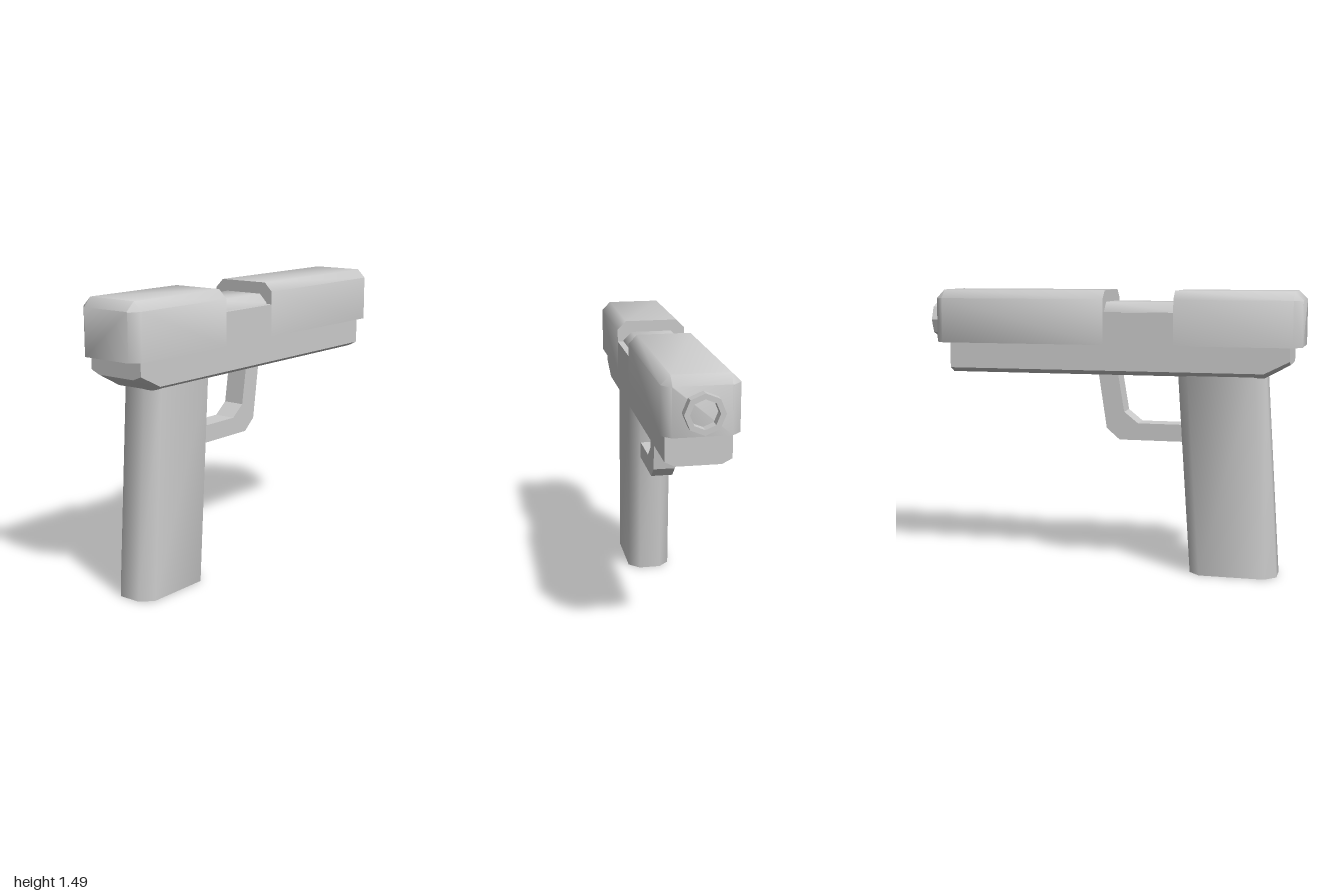
import * as THREE from 'three';
import { toCreasedNormals } from 'three/addons/utils/BufferGeometryUtils.js';

const material = new THREE.MeshStandardMaterial({ color: 0xcccccc });

// Closed solid through equal-length rings, each counter-clockwise seen from the far end
function loft(rings, crease = 0.9) {
  const n = rings[0].length;
  const index = [];
  for (let i = 0; i < rings.length - 1; i++) {
    for (let j = 0; j < n; j++) {
      const a = i * n + j, b = i * n + (j + 1) % n;
      index.push(a, b, b + n, a, b + n, a + n);
    }
  }
  const last = (rings.length - 1) * n;
  for (let j = 1; j < n - 1; j++) {
    index.push(0, j + 1, j, last, last + j, last + j + 1);
  }
  const geometry = new THREE.BufferGeometry();
  geometry.setAttribute('position', new THREE.Float32BufferAttribute(rings.flat(2), 3));
  geometry.setIndex(index);
  return toCreasedNormals(geometry, crease);
}

// Cross-section at x: half width h, bottom to top, chamfered top and bottom corners
function section(x, h, bottom, top, cutTop = 0, cutBottom = 0, cutBottomZ = 0) {
  return [
    [x, bottom + cutBottom, -h], [x, top - cutTop, -h],
    [x, top, -h + cutTop], [x, top, h - cutTop],
    [x, top - cutTop, h], [x, bottom + cutBottom, h],
    [x, bottom, h - cutBottomZ], [x, bottom, -h + cutBottomZ],
  ];
}

// Eight-sided cross-section of the grip at height y
function gripSection(y, x0, x1, h, cut) {
  return [
    [x0, y, -h + cut], [x0, y, h - cut], [x0 + cut, y, h], [x1 - cut, y, h],
    [x1, y, h - cut], [x1, y, -h + cut], [x1 - cut, y, -h], [x0 + cut, y, -h],
  ];
}

export function createModel() {
  const model = new THREE.Group();
  const add = (name, geometry, parent = model) => {
    const mesh = new THREE.Mesh(geometry, material);
    mesh.name = name;
    parent.add(mesh);
    return mesh;
  };

  // Slide: bevelled rear and front blocks joined by a lower bridge
  const slide = new THREE.Group();
  slide.name = 'slide';
  model.add(slide);
  const c = 0.045, h = 0.185, base = 1.21, top = 1.49;
  const full = (x) => section(x, h, base, top, c);
  const end = (x) => section(x, h - c, base, top - c, 0.004);
  add('slideRear', loft([end(-1), full(-1 + c), full(-0.35)]), slide);
  add('slideFront', loft([full(0.02), full(0.95 - c), end(0.95)]), slide);
  add('slideBridge', loft([section(-0.35, h, base, 1.38), section(0.02, h, base, 1.38)]), slide);

  // Chamber block showing in the ejection notch
  add('chamber', loft([-0.36, 0.03].map((x) => section(x, 0.153, 1.33, 1.43, c))));

  // Muzzle: short hollow octagonal tube
  const profile = [[0.07, -0.02], [0.097, -0.02], [0.097, 0.05], [0.07, 0.05], [0.07, -0.02]]
    .map(([r, y]) => new THREE.Vector2(r, y));
  const muzzle = add('muzzle', toCreasedNormals(new THREE.LatheGeometry(profile, 8), 0.5));
  muzzle.rotation.z = -Math.PI / 2;
  muzzle.position.set(0.95, 1.326, 0);

  // Frame under the slide, with a sloped rear and chamfered lower edges
  add('frame', loft([
    section(-0.94, 0.16, 1.12, 1.215, 0, 0.02, 0.05),
    section(-0.81, 0.16, 1.05, 1.215, 0, 0.025, 0.05),
    section(0.87, 0.16, 1.05, 1.215, 0, 0.025, 0.05),
  ]));

  // Raked grip
  add('grip', loft([
    gripSection(0, -0.885, -0.425, 0.117, 0.058),
    gripSection(1.06, -0.814, -0.354, 0.117, 0.058),
  ]));

  // Trigger guard
  const guardShape = new THREE.Shape([
    [-0.42, 0.7], [-0.04, 0.7], [0.03, 0.76], [0.075, 1.06],
    [-0.03, 1.06], [-0.065, 0.85], [-0.14, 0.79], [-0.42, 0.79],
  ].map(([x, y]) => new THREE.Vector2(x, y)));
  const guard = new THREE.ExtrudeGeometry(guardShape, { depth: 0.116, bevelEnabled: false });
  guard.translate(0, 0, -0.058);
  add('triggerGuard', guard);

  return model;
}
